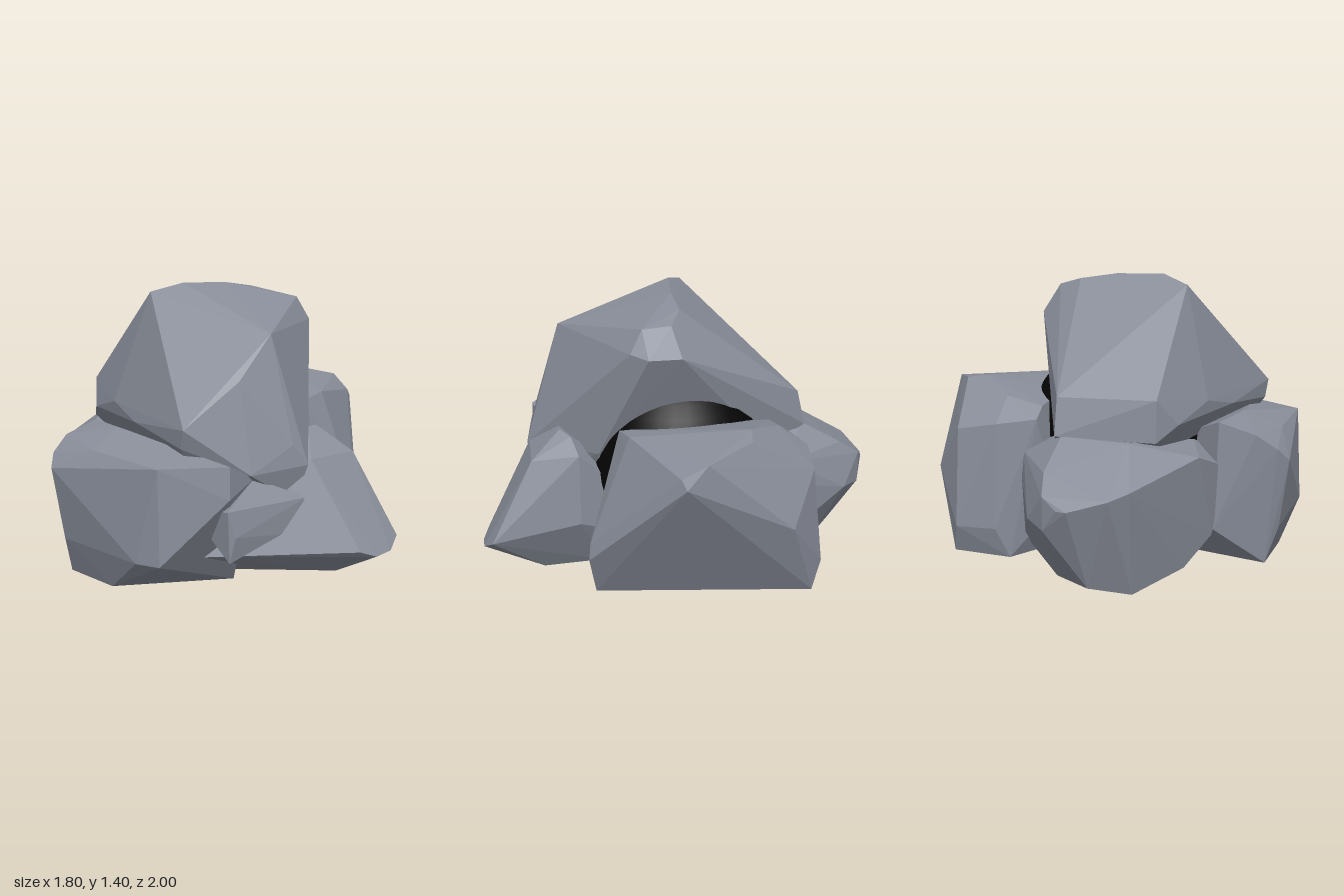
import * as THREE from 'three';
import { ConvexGeometry } from 'three/addons/geometries/ConvexGeometry.js';

const stone = new THREE.MeshStandardMaterial({ color: 0x898e9a, flatShading: true });
stone.name = 'slate grey stone';
const shadow = new THREE.MeshStandardMaterial({ color: 0x050505 });
shadow.name = 'black core';

// Each boulder is the faceted hull of its corners [x, y, z]
const boulders = {
  topBoulder: [
    [-0.36, 1.36, -0.08], [-0.22, 1.4, 0], [0.03, 1.39, 0.03], [0.22, 1.36, 0.02],
    [0.35, 1.32, 0.08], [0.35, 1.31, 0.22], [0.43, 1.18, 0.04], [0.43, 1.18, 0.2], [0.38, 1.2, 0.28],
    [-0.18, 1.2, 0.57], [-0.38, 1.0, 0.57], [-0.66, 0.8, 0.5], [-0.65, 0.71, 0.47], [-0.4, 0.58, 0.67],
    [-0.18, 0.7, 0.72], [-0.11, 0.6, 0.75], [-0.14, 0.42, 0.7], [-0.5, 0.5, 0.45], [0.21, 0.64, 0.42],
    [0.15, 0.5, 0.4], [-0.34, 0.88, -0.55], [0.13, 0.88, -0.6], [0.13, 0.7, -0.64], [-0.34, 0.68, -0.56],
    [-0.42, 0.75, -0.45], [-0.5, 0.82, -0.2], [-0.57, 0.76, 0.05], [0.17, 0.6, -0.45], [-0.35, 0.45, 0],
  ],
  rightBoulder: [
    [0.27, 0.79, -0.42], [0.27, 0.74, -0.5], [0.45, 0.83, -0.42], [0.63, 0.89, -0.25], [0.74, 0.87, -0.23],
    [0.88, 0.83, 0], [0.9, 0.72, 0.1], [0.86, 0.76, 0.12], [0.46, 0.82, 0.3], [0.32, 0.8, 0.33],
    [0.28, 0.8, -0.1], [0.45, 0.72, -0.57], [0.66, 0.68, -0.55], [0.82, 0.45, -0.42],
    [0.46, 0.2, -0.59], [0.66, 0.2, -0.6], [0.52, 0.22, 0.51], [0.5, 0.3, 0.5], [0.44, 0.01, 0.47],
    [0.69, 0.06, -0.55], [0.4, 0.05, -0.55], [0.12, 0.06, -0.1], [0.2, 0.3, -0.4], [0.35, 0.4, 0.38],
  ],
  leftBoulder: [
    [-0.9, 0.55, -0.18], [-0.85, 0.61, -0.23], [-0.82, 0.66, 0.05], [-0.64, 0.74, 0], [-0.57, 0.73, -0.26],
    [-0.75, 0.68, -0.26], [-0.55, 0.65, 0.69], [-0.82, 0.65, 0.51], [-0.56, 0.5, 0.7], [-0.36, 0.56, 0.65],
    [-0.86, 0.2, 0.4], [-0.82, 0.2, 0.52], [-0.8, 0.02, 0.15], [-0.85, 0.2, -0.15], [-0.79, 0.02, -0.18],
    [-0.55, 0.2, -0.28], [-0.2, 0.01, 0.0], [-0.3, 0.02, 0.45], [-0.3, 0.6, 0],
  ],
  frontLedge: [
    [-0.58, 0.45, 0.71], [-0.55, 0.33, 0.73], [-0.57, 0.21, 0.71], [-0.36, 0.56, 0.65], [-0.13, 0.45, 0.76],
    [-0.28, 0.3, 0.75], [-0.3, 0.2, 0.5], [-0.1, 0.5, 0.4], [-0.57, 0.4, 0.45],
  ],
  frontBoulder: [
    [0.02, 0.2, 0.97], [0.1, 0.17, 1], [0.2, 0.18, 1], [0.29, 0.23, 0.96], [0.2, 0.62, 0.75],
    [0.1, 0.74, 0.6], [0.05, 0.74, 0.6], [0.16, 0.72, 0.55], [-0.09, 0.65, 0.66], [-0.08, 0.62, 0.74],
    [-0.11, 0.5, 0.76], [0.25, 0.65, 0.52], [0.28, 0.3, 0.52], [0.15, 0.02, 0.7], [0.13, 0.02, 0.4],
    [-0.3, 0.01, 0.2], [0, 0.01, -0.12], [-0.57, 0.2, 0.53], [-0.45, 0.1, 0.3], [0, 0.5, 0.3],
  ],
  backBoulder: [
    [-0.3, 0.52, -0.86], [-0.23, 0.5, -0.95], [-0.05, 0.45, -1], [0, 0.45, -0.99], [0.08, 0.5, -0.95],
    [0.11, 0.58, -0.84], [0.19, 0.36, -0.85], [0.08, 0.34, -0.95], [-0.23, 0.69, -0.63], [0.1, 0.7, -0.63],
    [0.34, 0.58, -0.5], [0.4, 0.5, -0.4], [0.38, 0.12, -0.4], [-0.52, 0.6, -0.45], [-0.59, 0.5, -0.2],
    [-0.55, 0.18, -0.3], [-0.1, 0.05, -0.85], [-0.28, 0, -0.74], [0.1, 0.04, -0.7], [-0.45, 0.05, -0.45],
    [0.2, 0.65, -0.3], [-0.4, 0.62, -0.1], [0.2, 0.06, -0.1], [-0.35, 0.04, -0.1],
  ],
};

export function createModel() {
  const group = new THREE.Group();
  group.name = 'rockPile';

  for (const [name, corners] of Object.entries(boulders)) {
    const points = corners.map((c) => new THREE.Vector3(...c));
    const mesh = new THREE.Mesh(new ConvexGeometry(points), stone);
    mesh.name = name;
    group.add(mesh);
  }

  // Dark filling seen through the gaps between the boulders
  const core = new THREE.Mesh(new THREE.SphereGeometry(1, 32, 20), shadow);
  core.name = 'darkCore';
  core.scale.set(0.47, 0.5, 0.46);
  core.position.set(0.01, 0.56, 0);
  group.add(core);

  return group;
}
